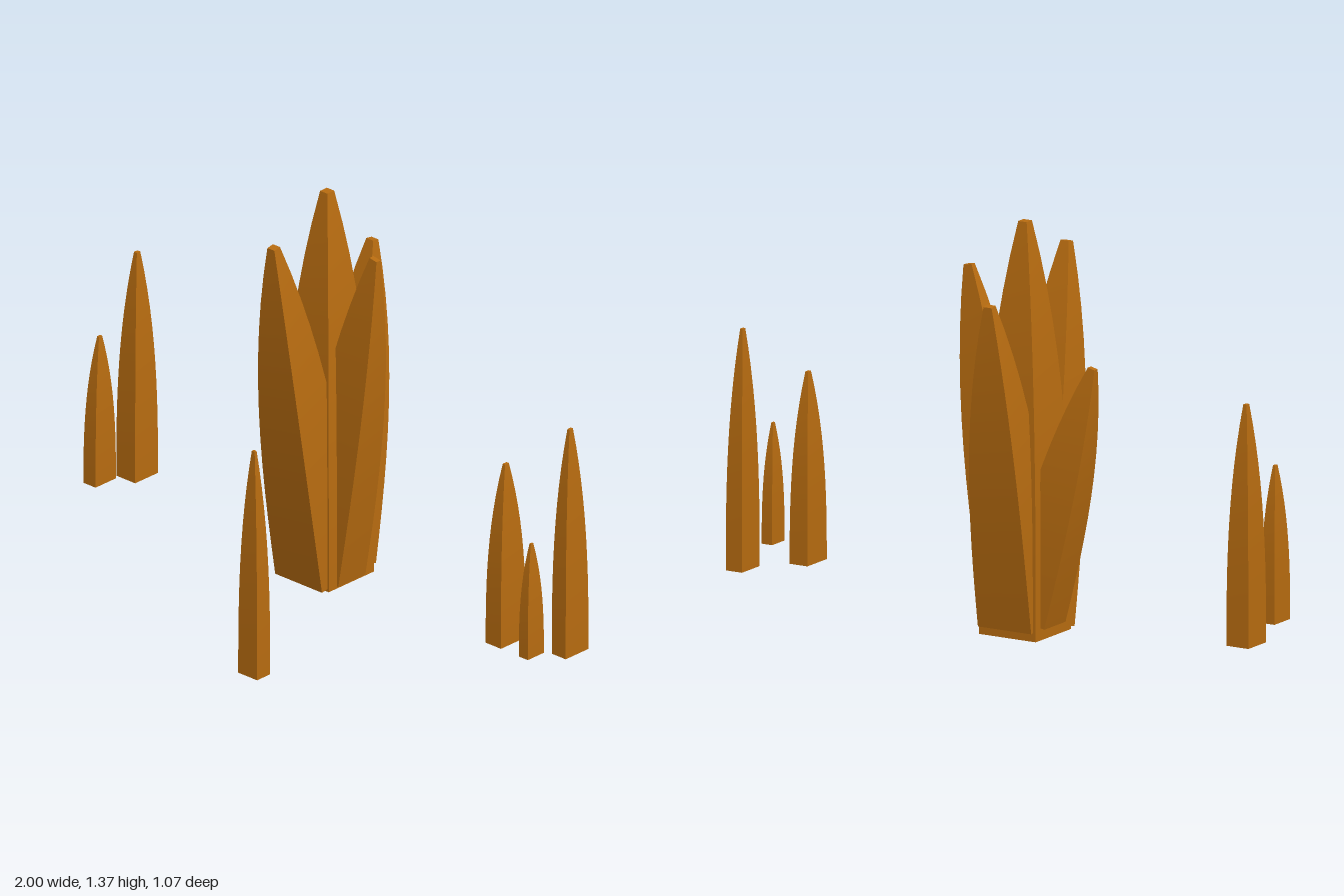
import * as THREE from 'three';
import { toCreasedNormals } from 'three/addons/utils/BufferGeometryUtils.js';

const material = new THREE.MeshStandardMaterial({ color: 0xb86c10 });

// Four-sided spike standing on its base, curving in to a small blunt tip
function spikeGeometry(halfX, height, halfZ) {
  const geo = new THREE.CylinderGeometry(Math.SQRT2, Math.SQRT2, 1, 4, 12, false, Math.PI / 4);
  geo.translate(0, 0.5, 0);
  const p = geo.attributes.position;
  for (let i = 0; i < p.count; i++) {
    const t = p.getY(i);
    const r = 1 - 0.85 * Math.pow(Math.max(t, 0), 2.7);
    p.setXYZ(i, p.getX(i) * r * halfX, t * height, p.getZ(i) * r * halfZ);
  }
  return toCreasedNormals(geo, Math.PI / 6);
}

function addSpike(parent, name, [x, y, z], [halfX, height, halfZ], tiltX = 0, tiltZ = 0) {
  const mesh = new THREE.Mesh(spikeGeometry(halfX, height, halfZ), material);
  mesh.name = name;
  mesh.position.set(x, y, z);
  mesh.rotation.set(THREE.MathUtils.degToRad(tiltX), 0, THREE.MathUtils.degToRad(tiltZ));
  parent.add(mesh);
}

export function createModel() {
  const model = new THREE.Group();
  model.name = 'spikeFormation';

  // Main cluster: an upright spike with four leaning outwards
  const cluster = new THREE.Group();
  cluster.name = 'mainCluster';
  addSpike(cluster, 'centreSpike', [-0.11, 0, -0.312], [0.108, 1.37, 0.107]);
  addSpike(cluster, 'frontSpike', [-0.112, 0.02, -0.268], [0.104, 1.25, 0.09], 9.5, 0);
  addSpike(cluster, 'backSpike', [-0.105, 0.04, -0.348], [0.102, 1.1, 0.082], -9, 0);
  addSpike(cluster, 'leftSpike', [-0.1, 0.025, -0.308], [0.105, 1.19, 0.064], 0, -10);
  addSpike(cluster, 'rightSpike', [-0.148, 0.06, -0.325], [0.087, 0.885, 0.065], 0, 15);
  model.add(cluster);

  // Small upright spikes scattered around: base centre, then half width, height, half depth
  const scattered = new THREE.Group();
  scattered.name = 'scatteredSpikes';
  [
    [[-0.958, 0.07, -0.315], [0.042, 0.8, 0.054]],
    [[-0.957, 0.11, -0.137], [0.027, 0.52, 0.048]],
    [[0.337, 0.07, 0.507], [0.042, 0.8, 0.031]],
    [[0.79, 0.092, -0.2], [0.034, 0.635, 0.059]],
    [[0.968, 0.07, -0.315], [0.031, 0.8, 0.054]],
    [[0.965, 0.12, -0.135], [0.02, 0.4, 0.038]],
  ].forEach(([base, size], i) => addSpike(scattered, `smallSpike${i + 1}`, base, size));
  model.add(scattered);

  return model;
}
